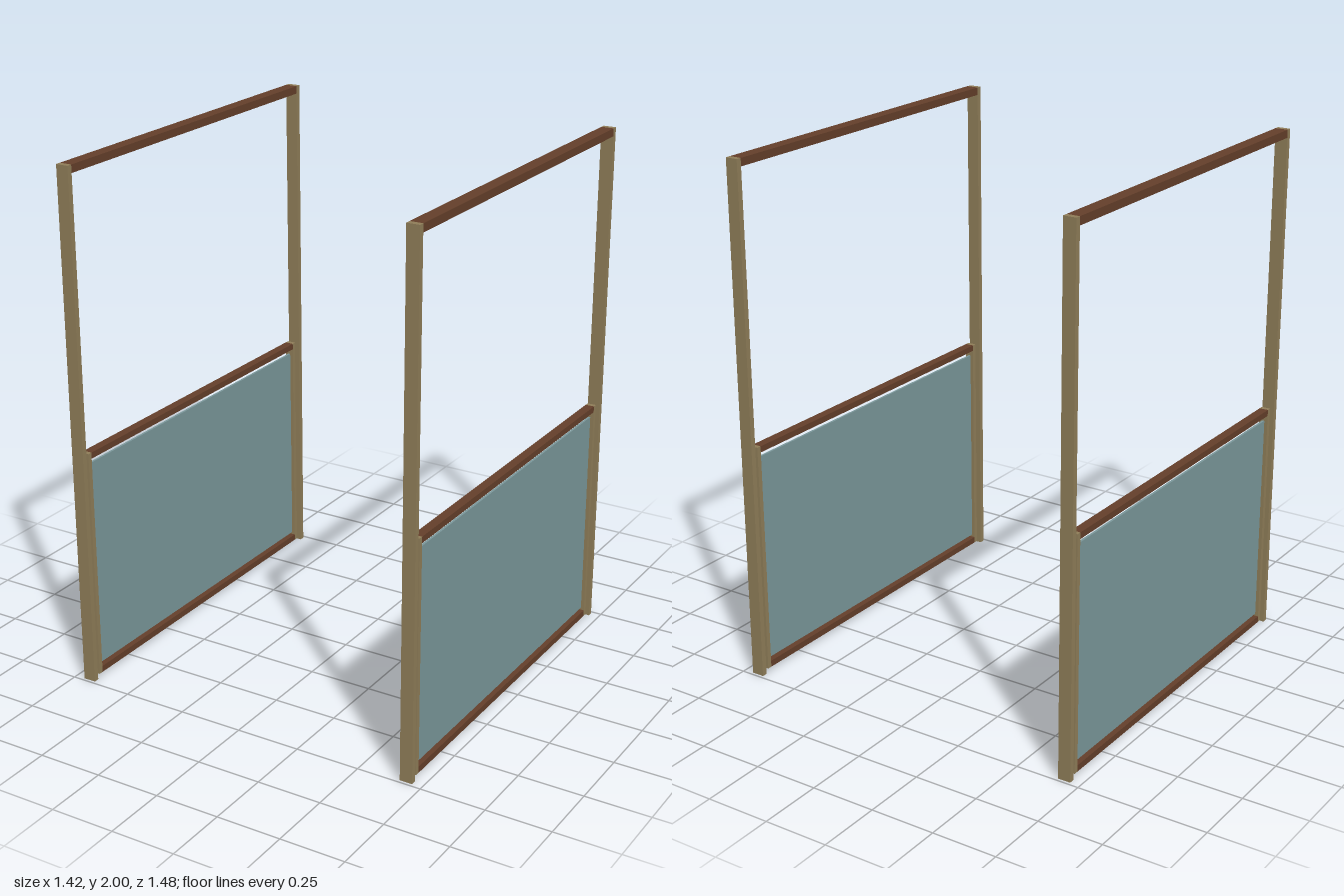
import * as THREE from 'three';

const paint = (name, color) => {
  const m = new THREE.MeshStandardMaterial({ color });
  m.name = name;
  return m;
};

export function createModel() {
  const model = new THREE.Group();
  model.name = 'windowFrames';
  const tan = paint('tan wood', 0x8f7d58);
  const brown = paint('dark brown wood', 0x643f2a);
  const glass = paint('blue grey glass', 0x7a979a);

  // Box given by its x thickness and its y and z ranges
  const bar = (group, name, mat, depth, y0, y1, z0, z1) => {
    const mesh = new THREE.Mesh(new THREE.BoxGeometry(depth, y1 - y0, z1 - z0), mat);
    mesh.position.set(0, (y0 + y1) / 2, (z0 + z1) / 2);
    mesh.name = name;
    group.add(mesh);
  };

  for (const side of [1, -1]) {
    const frame = new THREE.Group();
    frame.name = side > 0 ? 'leftFrame' : 'rightFrame';
    frame.position.x = side * 0.687;

    // Outer frame: two posts and a header
    const depth = 0.049;
    bar(frame, 'frontPost', tan, depth, 0, 2, 0.717, 0.738);
    bar(frame, 'backPost', tan, depth, 0, 2, -0.738, -0.717);
    bar(frame, 'header', brown, depth, 1.97, 2, -0.717, 0.717);

    // Lower sash: stiles, rails and a pane with a gap above and below
    const sash = new THREE.Group();
    sash.name = 'sash';
    const sashDepth = 0.035;
    bar(sash, 'frontStile', tan, sashDepth, 0.012, 0.917, 0.68, 0.698);
    bar(sash, 'backStile', tan, sashDepth, 0.012, 0.917, -0.698, -0.68);
    bar(sash, 'topRail', brown, sashDepth, 0.893, 0.917, -0.68, 0.68);
    bar(sash, 'bottomRail', brown, sashDepth, 0.012, 0.037, -0.68, 0.68);
    bar(sash, 'pane', glass, 0.009, 0.046, 0.87, -0.68, 0.68);
    frame.add(sash);
    model.add(frame);
  }
  return model;
}
